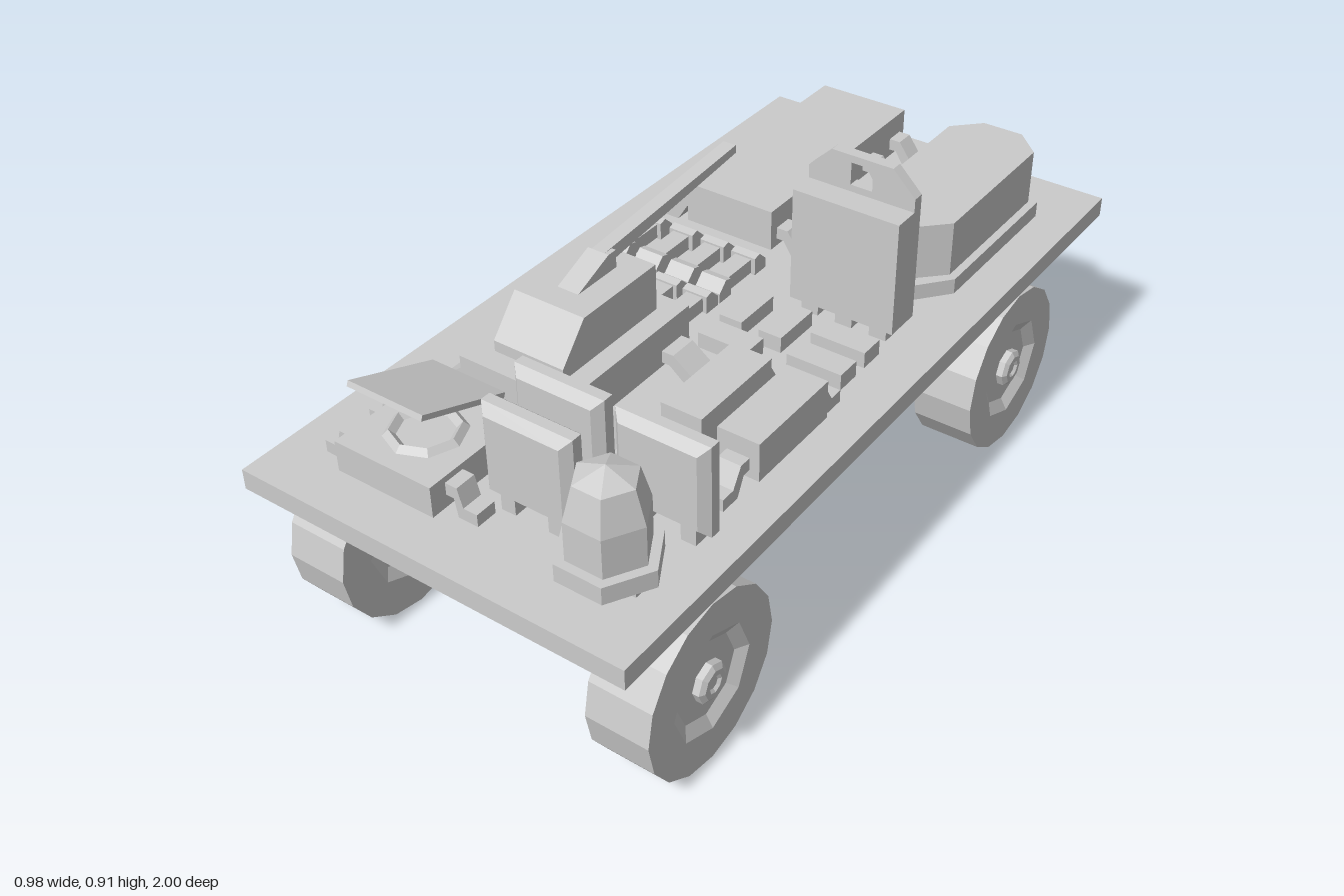
import * as THREE from 'three';

const material = new THREE.MeshStandardMaterial({ color: 0xcccccc, flatShading: true });

export function createModel() {
  const model = new THREE.Group();

  const add = (name, geometry, parent = model) => {
    const mesh = new THREE.Mesh(geometry, material);
    mesh.name = name;
    parent.add(mesh);
    return mesh;
  };
  const group = (name) => {
    const g = new THREE.Group();
    g.name = name;
    model.add(g);
    return g;
  };
  const box = (name, x0, x1, y0, y1, z0, z1, parent) => add(name,
    new THREE.BoxGeometry(x1 - x0, y1 - y0, z1 - z0)
      .translate((x0 + x1) / 2, (y0 + y1) / 2, (z0 + z1) / 2), parent);
  const shapeOf = (pts) => new THREE.Shape(pts.map(([a, b]) => new THREE.Vector2(a, b)));
  const extrude = (shape, depth) => new THREE.ExtrudeGeometry(shape, { depth, bevelEnabled: false });
  // Side profile given as [z, y], stretched between x0 and x1
  const prism = (name, pts, x0, x1, parent) => add(name,
    extrude(shapeOf(pts), x1 - x0).rotateY(-Math.PI / 2).translate(x1, 0, 0), parent);
  const lathe = (pts, sides) => new THREE.LatheGeometry(pts.map(([r, y]) => new THREE.Vector2(r, y)), sides);
  const polygon = (r, n) => Array.from({ length: n }, (_, i) =>
    [r * Math.cos(i * 2 * Math.PI / n), r * Math.sin(i * 2 * Math.PI / n)]);

  // Bent solder leg, running outward along the given angle
  const leg = (x, z, angle, run, width, parent) => {
    const pts = [[-0.01, 0.575], [0.03, 0.575], [run - 0.035, 0.53], [run, 0.53],
      [run, 0.5], [run - 0.05, 0.5], [0.02, 0.545], [-0.01, 0.545]];
    const m = add('leg', extrude(shapeOf(pts), width).translate(0, 0, -width / 2), parent);
    m.position.set(x, 0, z);
    m.rotation.y = angle;
  };
  const sideLegs = (x0, x1, zs, run, width, parent) => zs.forEach((z) => {
    leg(x1, z, 0, run, width, parent);
    leg(x0, z, Math.PI, run, width, parent);
  });

  // Circuit board deck and chassis beam
  box('board', -0.49, 0.49, 0.45, 0.5, -1, 1);
  box('chassisBeam', -0.1, 0.1, 0.35, 0.45, -0.46, 0.56);

  // Axle blocks with tapered noses front and back
  const axleProfile = shapeOf([[-0.32, 0.45], [-0.32, 0.35], [-0.2, 0.245],
    [0.2, 0.245], [0.32, 0.35], [0.32, 0.45]]);
  for (const z of [0.69, -0.59]) {
    const axle = group(z > 0 ? 'frontAxle' : 'rearAxle');
    add('axleBlock', extrude(axleProfile, 0.14).translate(0, 0, z - 0.07), axle);
    for (const s of [1, -1]) {
      const taper = new THREE.BoxGeometry(0.4, 0.205, 0.07).translate(0, 0.3475, z + s * 0.105);
      const p = taper.attributes.position;
      for (let i = 0; i < p.count; i++) {
        if (s * (p.getZ(i) - z) < 0.1) continue;
        p.setXYZ(i, p.getX(i) / 2, Math.max(p.getY(i), 0.35), p.getZ(i));
      }
      taper.computeVertexNormals();
      add('axleTaper', taper, axle);
    }
  }

  // Wheels with an octagonal dish on both faces and a hub outside
  const tyreShape = shapeOf(polygon(0.213, 16));
  tyreShape.holes.push(new THREE.Path(polygon(0.13, 8).map(([a, b]) => new THREE.Vector2(a, b))));
  const tyre = extrude(tyreShape, 0.154).translate(0, 0, -0.077);
  const dish = lathe([[0, -0.06], [0.1, -0.06], [0.13, -0.077], [0.13, 0.077], [0.1, 0.06],
    [0.047, 0.06], [0.047, 0.076], [0.035, 0.084], [0.022, 0.084], [0.015, 0.078], [0, 0.078]], 8)
    .rotateX(Math.PI / 2);
  for (const z of [0.713, -0.573]) for (const s of [1, -1]) {
    const wheel = group((z > 0 ? 'front' : 'rear') + (s > 0 ? 'LeftWheel' : 'RightWheel'));
    add('tyre', tyre, wheel);
    add('dishAndHub', dish, wheel);
    wheel.position.set(s * 0.403, 0.217, z);
    wheel.rotation.y = s * Math.PI / 2;
  }

  // Long chip at the back with five legs per side
  const longChip = group('longChip');
  box('chipBody', -0.29, -0.045, 0.525, 0.63, -0.91, -0.28, longChip);
  sideLegs(-0.29, -0.045, [-0.865, -0.73, -0.59, -0.455, -0.33], 0.098, 0.05, longChip);

  // Long octagonal can on a flange
  const can = group('crystalCan');
  const octagon = (name, w, l, cx, cz, y0, y1) => {
    const a = w / 2, b = l / 2;
    const pts = [[a, b - cz], [a - cx, b], [cx - a, b], [-a, b - cz],
      [-a, cz - b], [cx - a, -b], [a - cx, -b], [a, cz - b]];
    add(name, extrude(shapeOf(pts), y1 - y0).rotateX(-Math.PI / 2).translate(0.2525, y0, -0.612), can);
  };
  octagon('canFlange', 0.275, 0.605, 0.075, 0.09, 0.5, 0.54);
  octagon('canBody', 0.235, 0.535, 0.065, 0.065, 0.54, 0.68);

  // Upright power transistor: body, pierced tab and legs
  const transistor = group('transistor');
  box('transistorBody', 0.11, 0.38, 0.535, 0.82, -0.19, -0.125, transistor);
  const tab = shapeOf([[0.11, 0.535], [0.38, 0.535], [0.38, 0.853], [0.322, 0.91], [0.168, 0.91], [0.11, 0.853]]);
  tab.holes.push(new THREE.Path([[0.218, 0.837], [0.218, 0.892], [0.273, 0.892], [0.273, 0.837]]
    .map(([a, b]) => new THREE.Vector2(a, b))));
  add('mountingTab', extrude(tab, 0.028).translate(0, 0, -0.218), transistor);
  for (const x of [0.155, 0.245, 0.335]) box('transistorLeg', x - 0.022, x + 0.022, 0.5, 0.54, -0.18, -0.14, transistor);

  // Turret chip with a sloped upper block and long barrel
  const turret = group('turretChip');
  box('turretBase', -0.255, 0.03, 0.535, 0.638, 0.16, 0.585, turret);
  sideLegs(-0.255, 0.03, [0.225, 0.515], 0.125, 0.072, turret);
  prism('turretBlock', [[0.21, 0.63], [0.53, 0.63], [0.53, 0.665], [0.455, 0.752], [0.21, 0.752]], -0.205, -0.02, turret);
  prism('barrelMount', [[0.395, 0.752], [0.29, 0.795], [0.265, 0.795], [0.265, 0.752]], -0.138, -0.083, turret);
  prism('barrel', [[0.3, 0.76], [0.29, 0.795], [-0.2, 0.832], [-0.2, 0.812]], -0.128, -0.094, turret);

  // Box with a round socket and a tilted open lid
  const hatch = group('hatchBox');
  box('hatchBody', -0.312, -0.056, 0.515, 0.59, 0.64, 0.9, hatch);
  sideLegs(-0.312, -0.056, [0.705, 0.832], 0.078, 0.052, hatch);
  add('socketRing', new THREE.TorusGeometry(0.075, 0.014, 4, 8).rotateX(Math.PI / 2)
    .translate(-0.184, 0.59, 0.77), hatch);
  prism('hatchLid', [[0.64, 0.634], [0.872, 0.722], [0.867, 0.734], [0.635, 0.646]], -0.283, -0.086, hatch);

  // Hexagonal domed capacitor
  const capacitor = group('domedCapacitor');
  add('capacitorBody', lathe([[0, 0.535], [0.113, 0.535], [0.113, 0.577], [0.09, 0.577],
    [0.09, 0.67], [0.068, 0.748], [0, 0.775]], 6).rotateY(Math.PI / 2).translate(0.322, 0, 0.822), capacitor);
  for (const s of [-1, 1]) box('capacitorLeg', 0.305 + s * 0.055, 0.34 + s * 0.055, 0.5, 0.54, 0.8, 0.84, capacitor);

  // Upright square capacitors with bevelled faces
  for (const [x, z] of [[0.076, 0.642], [0.326, 0.642], [0.103, 0.772]]) {
    const plate = group('plateCapacitor');
    const square = shapeOf([[-0.092, -0.09], [0.092, -0.09], [0.092, 0.09], [-0.092, 0.09]]);
    add('plateBody', new THREE.ExtrudeGeometry(square, { depth: 0.025, bevelThickness: 0.02, bevelSize: 0.02, bevelSegments: 1 })
      .translate(x, 0.645, z - 0.0125), plate);
    for (const s of [-1, 1]) box('plateLeg', x + s * 0.06 - 0.018, x + s * 0.06 + 0.018, 0.5, 0.54, z - 0.018, z + 0.018, plate);
  }

  // Pair of narrow chips with legs at their ends
  for (const x of [0.222, 0.362]) {
    const chip = group('narrowChip');
    box('chipBody', x - 0.051, x + 0.051, 0.525, 0.62, 0.2, 0.455, chip);
    leg(x, 0.2, Math.PI / 2, 0.092, 0.055, chip);
    leg(x, 0.455, -Math.PI / 2, 0.092, 0.055, chip);
  }

  // Dumbbell resistors
  const resistor = (x, z, angle = 0) => {
    const r = group('resistor');
    box('resistorBody', -0.023, 0.023, 0.503, 0.54, -0.07, 0.07, r);
    for (const s of [1, -1]) {
      prism('resistorEnd', [[s * 0.05, 0.5], [s * 0.096, 0.5], [s * 0.096, 0.525], [s * 0.07, 0.55], [s * 0.05, 0.545]],
        -0.034, 0.034, r);
    }
    r.position.set(x, 0, z);
    r.rotation.y = angle;
  };
  for (const x of [-0.347, -0.252, -0.16, -0.07]) resistor(x, -0.148);
  for (const x of [-0.155, -0.07]) resistor(x, 0.05);
  resistor(-0.29, 0.015, Math.PI / 2);

  // Small flat blocks: x centre, z centre, width, depth
  for (const [x, z, w, d] of [[0.052, -0.033, 0.06, 0.13], [0.158, -0.033, 0.06, 0.13],
    [0.3, -0.057, 0.14, 0.064], [0.3, 0.042, 0.14, 0.064], [0.09, 0.086, 0.132, 0.064]]) {
    box('smallBlock', x - w / 2, x + w / 2, 0.5, 0.54, z - d / 2, z + d / 2);
  }

  return model;
}
